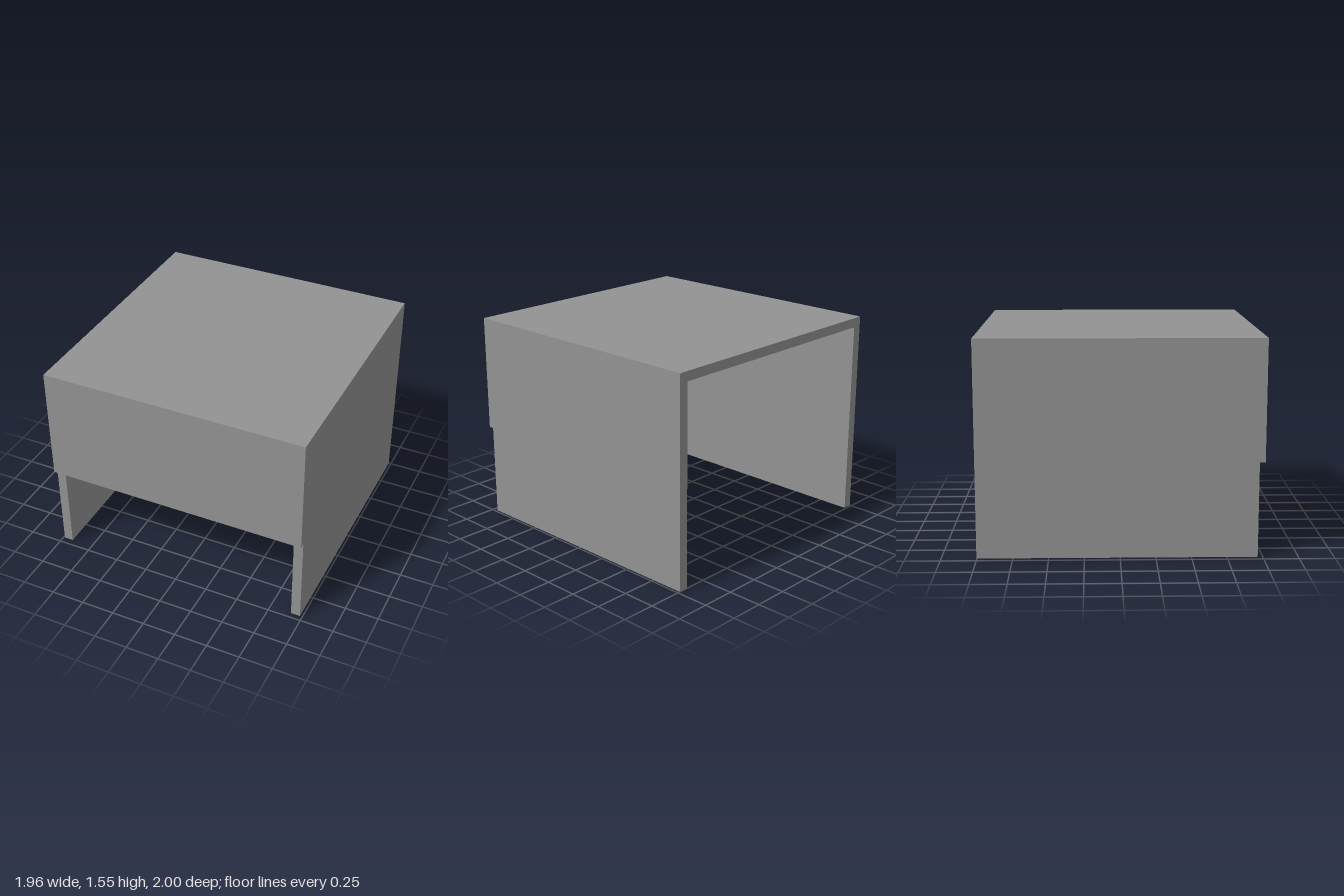
import * as THREE from 'three';

const HALF_W = 0.982, TOP = 1.546, WALL = 0.07;
const BACK = -1, FRONT = 1, PANEL = 0.04, PANEL_BOTTOM = 0.687;

export function createModel() {
  const group = new THREE.Group();
  group.name = 'desk';
  const material = new THREE.MeshStandardMaterial({ color: 0x929292 });

  // Two side walls and the top as one upside-down U; the right wall is slightly shorter
  const inner = HALF_W - WALL;
  const profile = new THREE.Shape([
    [-HALF_W, 0.01], [-inner, 0.01], [-inner, TOP - WALL], [inner, TOP - WALL],
    [inner, 0], [HALF_W, 0], [HALF_W, TOP], [-HALF_W, TOP],
  ].map(([x, y]) => new THREE.Vector2(x, y)));
  const shell = new THREE.Mesh(
    new THREE.ExtrudeGeometry(profile, { depth: FRONT - PANEL - BACK, bevelEnabled: false }),
    material,
  );
  shell.name = 'sidesAndTop';
  shell.position.z = BACK;
  group.add(shell);

  // Thin panel covering the upper part of the front
  const panelHeight = TOP - PANEL_BOTTOM;
  const panel = new THREE.Mesh(new THREE.BoxGeometry(2 * HALF_W, panelHeight, PANEL), material);
  panel.name = 'frontPanel';
  panel.position.set(0, PANEL_BOTTOM + panelHeight / 2, FRONT - PANEL / 2);
  group.add(panel);

  return group;
}
